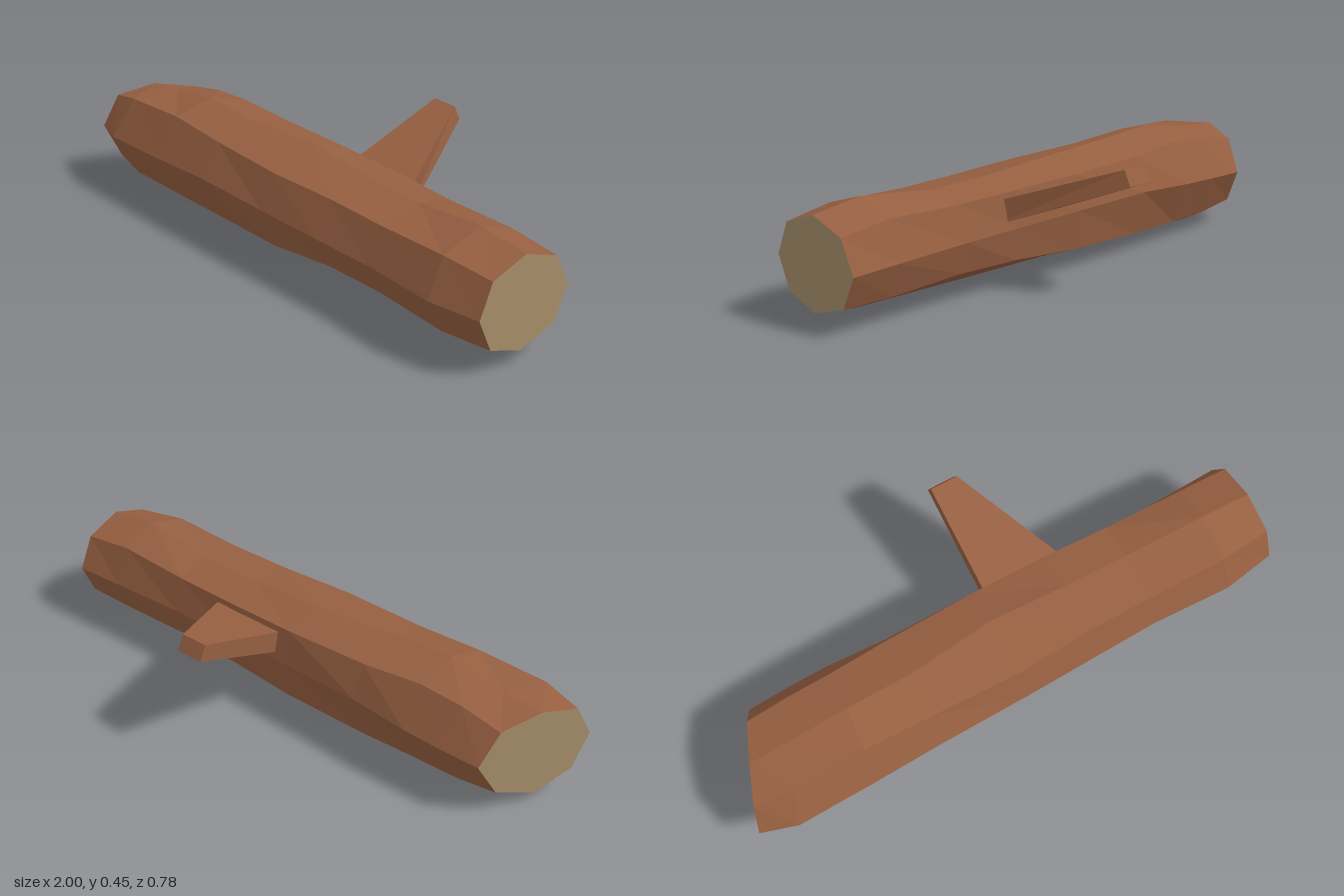
import * as THREE from 'three';

// Faceted geometry from a list of points and polygons (counter-clockwise from outside)
function facets(points, polygons) {
  const pos = [];
  for (const p of polygons) {
    for (let i = 1; i < p.length - 1; i++) pos.push(...points[p[0]], ...points[p[i]], ...points[p[i + 1]]);
  }
  const g = new THREE.BufferGeometry();
  g.setAttribute('position', new THREE.Float32BufferAttribute(pos, 3));
  g.computeVertexNormals();
  return g;
}

// Octagonal stations along the log:
// x, slant, heights: top, upper, middle, lower, bottom; depths: back, back shoulder, ridge, front shoulder, front
const STATIONS = [
  [-0.92, 0.41, 0.355, 0.325, 0.21, 0.085, 0.03, -0.05, 0.02, 0.16, 0.29, 0.345],
  [-0.77, 0.43, 0.367, 0.355, 0.215, 0.065, 0.0, -0.055, 0.02, 0.16, 0.31, 0.387],
  [-0.56, 0.1, 0.405, 0.365, 0.22, 0.062, 0.004, -0.055, 0.02, 0.165, 0.305, 0.383],
  [-0.32, 0, 0.392, 0.35, 0.228, 0.068, 0.01, -0.04, 0.005, 0.16, 0.31, 0.377],
  [0, 0, 0.389, 0.345, 0.222, 0.078, 0.018, -0.03, -0.003, 0.127, 0.32, 0.372],
  [0.28, 0, 0.37, 0.342, 0.216, 0.1, 0.021, -0.02, 0.0, 0.135, 0.305, 0.363],
  [0.52, 0, 0.365, 0.338, 0.215, 0.104, 0.025, -0.022, 0.01, 0.14, 0.305, 0.357],
  [0.81, 0, 0.396, 0.346, 0.212, 0.09, 0.03, -0.03, 0.02, 0.155, 0.31, 0.37],
  [1, 0, 0.372, 0.325, 0.21, 0.095, 0.05, -0.037, 0.018, 0.153, 0.288, 0.338],
];

export function createModel() {
  const model = new THREE.Group();
  const bark = new THREE.MeshStandardMaterial({ name: 'bark', color: 0x965f41, flatShading: true });
  const wood = new THREE.MeshStandardMaterial({ name: 'cutWood', color: 0xa58d69, flatShading: true });
  const add = (name, geometry, material) => {
    const mesh = new THREE.Mesh(geometry, material);
    mesh.name = name;
    model.add(mesh);
  };

  // Eight corners per station, from the top round the front
  const points = [];
  for (const [x, slant, top, up, mid, low, bottom, zb, zbs, zr, zfs, zf] of STATIONS) {
    const ring = [[top, zr], [up, zfs], [mid, zf], [low, zfs], [bottom, 0.16], [low, zbs], [mid, zb], [up, zbs]];
    for (const [y, z] of ring) points.push([x + slant * (0.155 - z), y, z]);
  }

  // Bark
  const sides = [];
  for (let i = 0; i < STATIONS.length - 1; i++) {
    for (let k = 0; k < 8; k++) {
      const a = i * 8 + k, c = i * 8 + (k + 1) % 8;
      sides.push([a, c, c + 8, a + 8]);
    }
  }
  add('log', facets(points, sides), bark);

  // Sawn ends: the right one is cut at a slant
  const order = [0, 1, 2, 3, 4, 5, 6, 7];
  const last = (STATIONS.length - 1) * 8;
  add('leftCut', facets(points, [order.map((k) => k + last)]), wood);
  add('rightCut', facets(points, [[...order].reverse()]), wood);

  // Tapered branch stub rising towards the back, rooted inside the log
  const stub = [
    [0.045, 0.22, 0.05], [0.36, 0.22, 0.05], [0.36, 0.304, 0.05], [0.045, 0.304, 0.05],
    [0.045, 0.397, -0.39], [0.145, 0.397, -0.39], [0.145, 0.45, -0.365], [0.045, 0.45, -0.365],
  ];
  add('branch', facets(stub, [
    [0, 1, 2, 3], [5, 4, 7, 6], [3, 2, 6, 7], [0, 4, 5, 1], [1, 5, 6, 2], [0, 3, 7, 4],
  ]), bark);

  return model;
}
